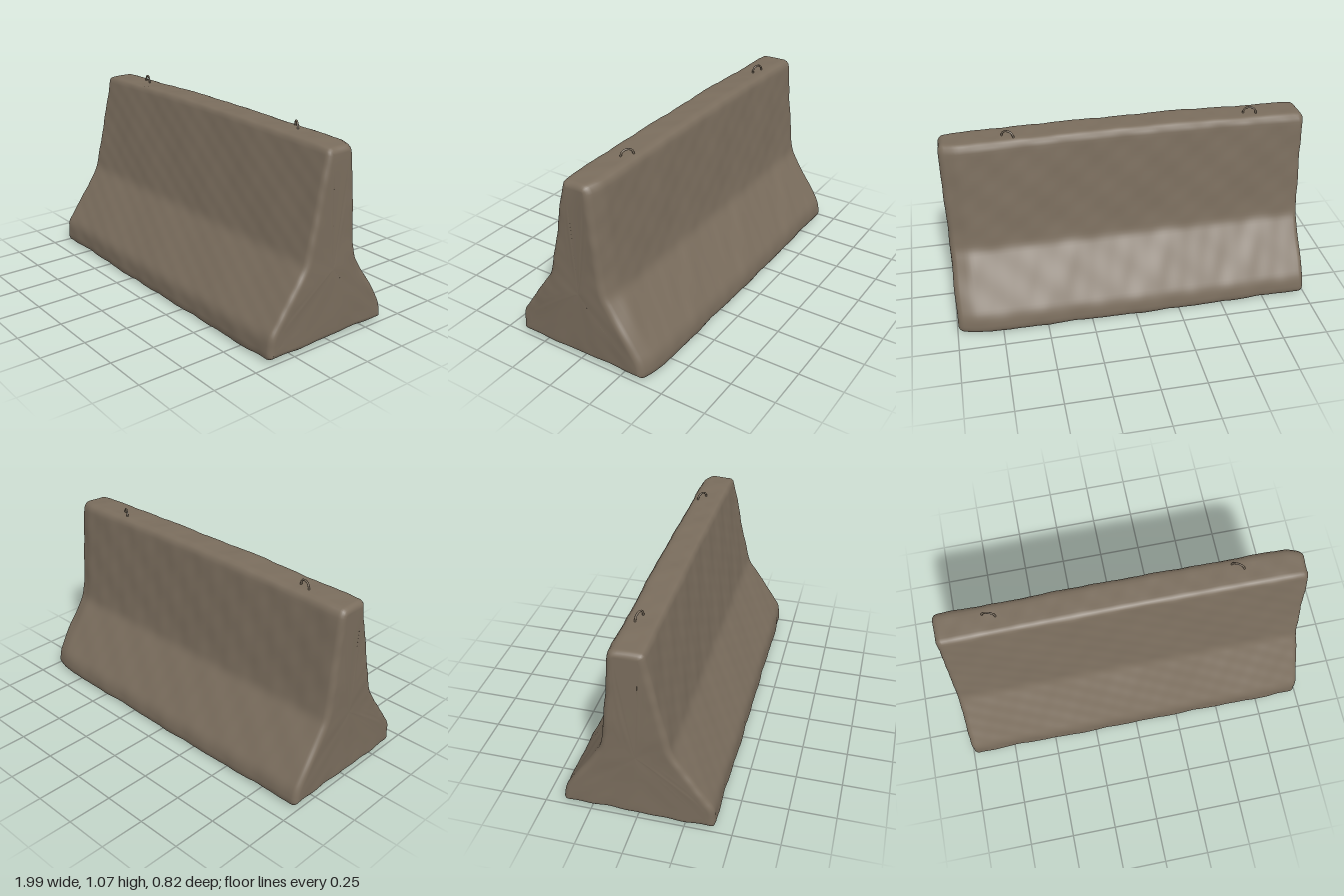
import * as THREE from 'three';

// Side outline as [z, y, corner radius], front foot up over the crest and down the back
const OUTLINE = [
  [0.408, 0.016, 0.025], [0.403, 0.135, 0.035], [0.18, 0.46, 0.03], [0.058, 1.03, 0.022],
  [-0.118, 1.03, 0.04], [-0.17, 0.52, 0.05], [-0.185, 0.425, 0.03], [-0.397, 0.105, 0.04], [-0.405, 0.016, 0.025],
];

// Rounded closed outline, evenly sampled
function outlinePoints(count) {
  const shape = new THREE.Shape();
  const pts = OUTLINE.map(([z, y]) => new THREE.Vector2(z, y));
  const n = pts.length;
  let start;
  pts.forEach((p, i) => {
    const r = OUTLINE[i][2];
    const a = p.clone().add(pts[(i + n - 1) % n].clone().sub(p).setLength(r));
    const b = p.clone().add(pts[(i + 1) % n].clone().sub(p).setLength(r));
    if (i === 0) { shape.moveTo(a.x, a.y); start = a; } else shape.lineTo(a.x, a.y);
    shape.quadraticCurveTo(p.x, p.y, b.x, b.y);
  });
  shape.lineTo(start.x, start.y);
  return shape.getSpacedPoints(count).slice(0, count);
}

// Gentle lumps of worn cast concrete
function lump(x, y, z) {
  return 0.0022 * Math.sin(9 * x + 4 * y + 3 * z) * Math.cos(7 * y - 5 * z + 2 * x)
    + 0.0016 * Math.sin(23 * x - 11 * y + 8 * z) * Math.sin(17 * z + 13 * y + 1)
    + 0.0009 * Math.sin(47 * x + 21 * y) * Math.cos(39 * z - 31 * y + 12 * x);
}

function barrierGeometry() {
  const COUNT = 160, R = 0.032, HALF = 0.993;
  const profile = outlinePoints(COUNT);
  const normals = profile.map((p, j) => {
    const t = profile[(j + 1) % COUNT].clone().sub(profile[(j + COUNT - 1) % COUNT]).normalize();
    return new THREE.Vector2(t.y, -t.x);
  });

  // Rings along x: flat end, rounded rim, long body, then the same mirrored
  const end = [];
  for (const s of [0, 0.2, 0.4, 0.6, 0.8, 0.92]) end.push({ x: -HALF, inset: R, scale: s });
  for (let k = 0; k <= 6; k++) {
    const a = (k / 6) * Math.PI / 2;
    end.push({ x: -HALF + R * (1 - Math.cos(a)), inset: R * (1 - Math.sin(a)), scale: 1 });
  }
  const rings = [...end];
  const span = HALF - R;
  for (let i = 1; i < 100; i++) rings.push({ x: -span + 2 * span * i / 100, inset: 0, scale: 1 });
  rings.push(...end.map((r) => ({ ...r, x: -r.x })).reverse());

  const pos = [], index = [];
  rings.forEach(({ x, inset, scale }, i) => {
    const bow = Math.cos(x * Math.PI / 2);
    const worn = THREE.MathUtils.smoothstep(x, 0.88, 1);
    profile.forEach((p, j) => {
      const nrm = normals[j];
      let z = (p.x - nrm.x * inset) * scale;
      let y = 0.4 + (p.y - nrm.y * inset - 0.4) * scale;
      const d = lump(x, y, z) * 1.3;
      const endBump = (1 - Math.abs(bow)) ** 8 * d * Math.sign(x);
      z += nrm.x * d * scale;
      y += nrm.y * d * scale + (y - 0.4) * 0.025 * bow; // crest and base swell at mid length
      if (z < 0) z += 0.025 * worn * Math.min(1, -z / 0.1); // worn rear corner
      pos.push(x + endBump, y, z);
      if (i + 1 < rings.length) {
        const a = i * COUNT + j, c = i * COUNT + (j + 1) % COUNT;
        index.push(a, a + COUNT, c, a + COUNT, c + COUNT, c);
      }
    });
  });
  const geo = new THREE.BufferGeometry();
  geo.setAttribute('position', new THREE.Float32BufferAttribute(pos, 3));
  geo.setIndex(index);
  geo.computeVertexNormals();
  return geo;
}

// Bent bar sunk into the crest
function liftingLoopGeometry() {
  const path = new THREE.CatmullRomCurve3([
    [-0.034, -0.03], [-0.034, 0.01], [-0.024, 0.029], [0, 0.037], [0.024, 0.029], [0.034, 0.01], [0.034, -0.03],
  ].map(([x, y]) => new THREE.Vector3(x, y, 0)));
  return new THREE.TubeGeometry(path, 28, 0.0055, 8);
}

export function createModel() {
  const concrete = new THREE.MeshStandardMaterial({ color: 0x7a6d5d });
  concrete.name = 'concrete';

  const group = new THREE.Group();
  group.name = 'concreteBarrier';

  const body = new THREE.Mesh(barrierGeometry(), concrete);
  body.name = 'barrierBody';
  group.add(body);

  const loop = liftingLoopGeometry();
  for (const [name, x, z, turn] of [['rightLiftingLoop', -0.7, -0.048, -0.3], ['leftLiftingLoop', 0.628, -0.06, -0.55]]) {
    const mesh = new THREE.Mesh(loop, concrete);
    mesh.name = name;
    mesh.position.set(x, 1.033, z);
    mesh.rotation.y = turn;
    group.add(mesh);
  }
  return group;
}
